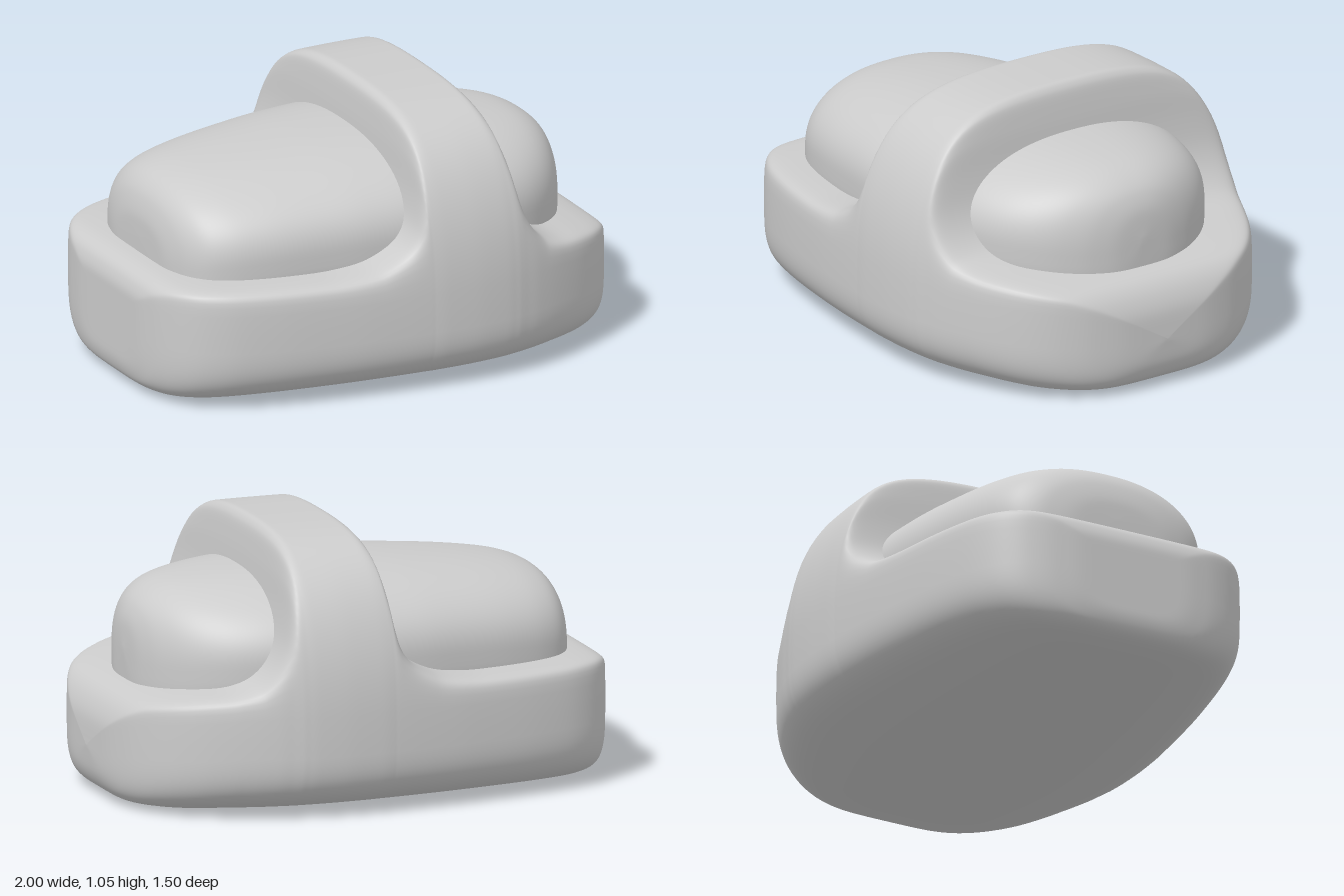
import * as THREE from 'three';
import { mergeVertices } from 'three/addons/utils/BufferGeometryUtils.js';

// Smooth interpolation of station rows, without overshoot; t counts rows
function sampleRows(rows, t) {
  const i = Math.min(Math.floor(t), rows.length - 2), f = t - i;
  return rows[i].map((_, c) => {
    const v = k => rows[Math.max(0, Math.min(rows.length - 1, k))][c];
    const slope = k => {
      const a = v(k) - v(k - 1), b = v(k + 1) - v(k);
      if (k <= 0) return b;
      if (k >= rows.length - 1) return a;
      return a * b > 0 ? 2 * a * b / (a + b) : 0;
    };
    const p = v(i), q = v(i + 1), f2 = f * f, f3 = f2 * f;
    return p * (2 * f3 - 3 * f2 + 1) + slope(i) * (f3 - 2 * f2 + f)
      + q * (3 * f2 - 2 * f3) + slope(i + 1) * (f3 - f2);
  });
}

const sPow = (v, e) => Math.sign(v) * Math.pow(Math.abs(v), e);

// Skin closed cross-sections placed along x
function loft(name, rows, section, material, steps = 6, sides = 112) {
  const pos = [], index = [], count = (rows.length - 1) * steps;
  for (let i = 0; i <= count; i++) {
    const row = sampleRows(rows, i / steps);
    for (let j = 0; j < sides; j++) {
      const [z, y] = section(row, j / sides * Math.PI * 2);
      pos.push(row[0], y, z);
      if (i === count) continue;
      const k = (j + 1) % sides;
      const a = i * sides + j, b = a + sides, c = i * sides + k, d = c + sides;
      index.push(a, b, c, b, d, c);
    }
  }
  let geo = new THREE.BufferGeometry();
  geo.setAttribute('position', new THREE.Float32BufferAttribute(pos, 3));
  geo.setIndex(index);
  geo = mergeVertices(geo, 1e-5);
  geo.computeVertexNormals();
  const mesh = new THREE.Mesh(geo, material);
  mesh.name = name;
  return mesh;
}

// Shell section: rounded floor, and an arch cut off softly at the local height
function shellSection([, w, bottom, top], a) {
  const c = bottom + (Math.min(top, 0.495) - bottom) * 0.66;
  const s = Math.sin(a), co = Math.cos(a);
  if (s < 0) return [w * sPow(co, 0.5), c + (c - bottom) * sPow(s, 0.5)];
  const arch = 0.8, rise = Math.max(top - c, 1e-4);
  const p = 2 + 6 * THREE.MathUtils.clamp((rise - 0.2) / 0.3, 0, 1);
  const u = arch * Math.pow(s, 0.8);
  const v = Math.pow(rise ** -p - arch ** -p, -1 / p);
  const y = u < 1e-5 ? 0 : Math.pow(u ** -p + v ** -p, -1 / p);
  return [w * sPow(co, 0.8), c + y];
}

// Cabin section: domed top, squarer underside
function cabinSection([, w, bottom, top], a) {
  const c = bottom + (top - bottom) * 0.47;
  const s = Math.sin(a), e = s < 0 ? 0.6 : 0.87;
  return [w * sPow(Math.cos(a), e), c + (s < 0 ? c - bottom : top - c) * sPow(s, e)];
}

export function createModel() {
  const group = new THREE.Group();
  const material = new THREE.MeshStandardMaterial({ color: 0xcccccc });

  // x, half width, bottom, top: rim, sweeping up into the band and down again
  const shell = [
    [-1, 0, 0.25, 0.25], [-1, 0.2, 0.12, 0.38], [-0.985, 0.32, 0.05, 0.44],
    [-0.95, 0.42, 0.02, 0.475], [-0.89, 0.505, 0.005, 0.49], [-0.78, 0.58, 0, 0.495],
    [-0.6, 0.64, 0, 0.495], [-0.4, 0.683, 0, 0.496], [-0.25, 0.709, 0, 0.51],
    [-0.13, 0.725, 0, 0.55], [-0.06, 0.733, 0, 0.6], [-0.02, 0.737, 0, 0.67],
    [0.002, 0.739, 0, 0.78], [0.015, 0.74, 0, 0.93], [0.03, 0.742, 0, 1.025],
    [0.07, 0.746, 0, 1.05], [0.2, 0.75, 0, 1.05], [0.33, 0.743, 0, 1.05],
    [0.365, 0.738, 0, 1.025], [0.385, 0.735, 0, 0.93], [0.402, 0.731, 0, 0.8],
    [0.425, 0.725, 0, 0.69], [0.465, 0.715, 0, 0.6], [0.53, 0.693, 0, 0.53],
    [0.62, 0.655, 0, 0.49], [0.74, 0.59, 0, 0.47], [0.84, 0.51, 0.005, 0.45],
    [0.91, 0.42, 0.015, 0.425], [0.96, 0.31, 0.045, 0.375], [0.99, 0.17, 0.11, 0.3],
    [1, 0, 0.2, 0.2],
  ];
  group.add(loft('shellWithBand', shell, shellSection, material));

  // x, half width, bottom, top
  const cabin = [
    [-0.87, 0, 0.55, 0.55], [-0.868, 0.17, 0.4, 0.62], [-0.845, 0.29, 0.33, 0.71],
    [-0.79, 0.385, 0.3, 0.775], [-0.7, 0.445, 0.3, 0.81], [-0.55, 0.493, 0.3, 0.835],
    [-0.35, 0.53, 0.3, 0.855], [-0.15, 0.558, 0.3, 0.868], [0.05, 0.57, 0.3, 0.873],
    [0.25, 0.562, 0.3, 0.872], [0.42, 0.535, 0.3, 0.862], [0.56, 0.488, 0.3, 0.847],
    [0.68, 0.41, 0.3, 0.825], [0.76, 0.32, 0.31, 0.79], [0.815, 0.215, 0.34, 0.735],
    [0.842, 0.11, 0.4, 0.66], [0.85, 0, 0.56, 0.56],
  ];
  group.add(loft('cabin', cabin, cabinSection, material));

  return group;
}
